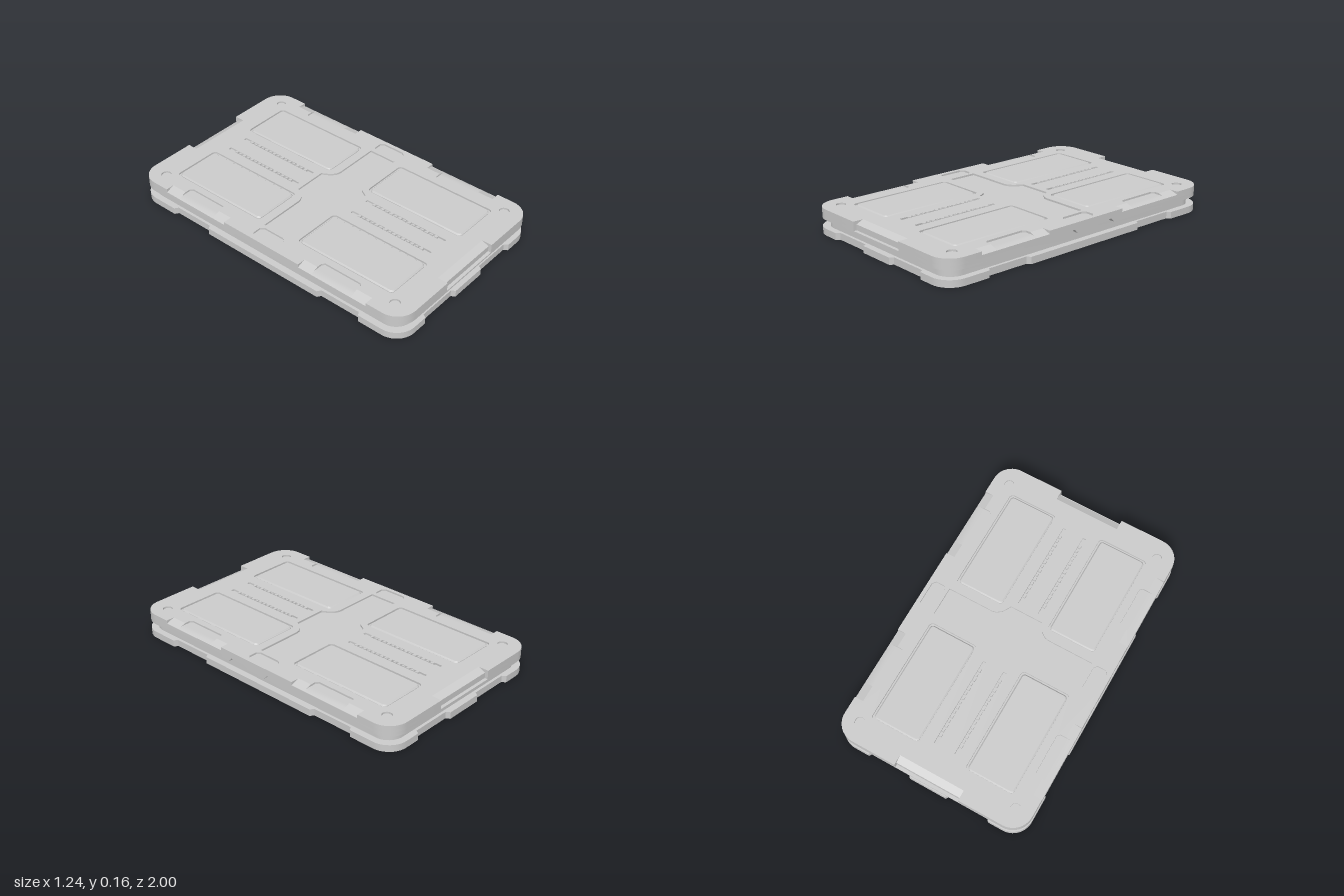
import * as THREE from 'three';
import { toCreasedNormals } from 'three/addons/utils/BufferGeometryUtils.js';

const material = new THREE.MeshStandardMaterial({ color: 0xcccccc });

// Points of a rounded corner, from the long side (+x) round to the end (+z)
function corner(hw, hl, r, steps = 10) {
  return Array.from({ length: steps + 1 }, (_, i) => {
    const a = (i / steps) * Math.PI / 2;
    return [hw - r + r * Math.cos(a), hl - r + r * Math.sin(a)];
  });
}

// Mirrors one quadrant of an outline into a closed loop, centred on (cx, cz)
function mirrored(quadrant, cx = 0, cz = 0) {
  const back = [...quadrant].reverse();
  return [
    ...quadrant,
    ...back.map(([x, z]) => [-x, z]),
    ...quadrant.map(([x, z]) => [-x, -z]),
    ...back.map(([x, z]) => [x, -z]),
  ].map(([x, z]) => new THREE.Vector2(x + cx, z + cz));
}

const roundedRect = (hw, hl, r, cx = 0, cz = 0) => mirrored(corner(hw, hl, r, 6), cx, cz);

export function createModel() {
  const model = new THREE.Group();

  function add(name, geometry, turn = 0) {
    const mesh = new THREE.Mesh(toCreasedNormals(geometry, 0.5), material);
    mesh.name = name;
    mesh.rotation.y = turn;
    model.add(mesh);
    return mesh;
  }

  // Horizontal slab between two heights, with optional holes and bevelled top
  function slab(name, outline, y0, y1, holes = [], bevel = 0) {
    const shape = new THREE.Shape(outline);
    shape.holes = holes.map((h) => new THREE.Path(h));
    const geometry = new THREE.ExtrudeGeometry(shape, {
      depth: y1 - y0 - bevel, bevelEnabled: bevel > 0,
      bevelSize: bevel, bevelThickness: bevel, bevelOffset: -bevel, bevelSegments: 1,
    });
    geometry.rotateX(-Math.PI / 2).translate(0, y0, 0);
    add(name, geometry);
  }

  // Upright cross-section (u, y) run along z, then turned about y
  function prism(name, points, from, to, turn) {
    const shape = new THREE.Shape(points.map(([u, y]) => new THREE.Vector2(u, y)));
    const geometry = new THREE.ExtrudeGeometry(shape, { depth: to - from, bevelEnabled: false });
    add(name, geometry.translate(0, 0, from), turn);
  }

  const round = corner(0.62, 1, 0.125);

  // Bottom plate with shallow recesses round its edge
  slab('bottomPlate', mirrored([
    [0.62, 0.42], [0.597, 0.435], [0.597, 0.7], [0.62, 0.715], ...round,
    [0.4, 1], [0.385, 0.977], [0.135, 0.977], [0.12, 1],
  ]), 0, 0.042);

  // Narrower core
  slab('core', mirrored(corner(0.58, 0.96, 0.1)), 0.042, 0.095);

  // Skirt of the top plate, notched under the sides
  slab('topSkirt', mirrored([
    [0.62, 0.07], [0.585, 0.07], [0.585, 0.22], [0.62, 0.22], ...round,
    [0.21, 1], [0.21, 0.98],
  ]), 0.095, 0.12);

  // Top plate body
  slab('topBody', mirrored([
    [0.62, 0.285], [0.565, 0.285], [0.565, 0.765], [0.62, 0.765], ...round,
    [0.21, 1], [0.21, 0.935],
  ]), 0.12, 0.149);

  // Recesses cut through the top skin
  const holes = [mirrored([
    [0.485, 0.092], [0.19, 0.092], [0.165, 0.098], [0.135, 0.12], [0.117, 0.15], [0.105, 0.172],
  ])];
  for (const sx of [-1, 1]) {
    holes.push(mirrored([[0.045, 0.07], [0.027, 0.092]], sx * 0.55));
    for (const sz of [-1, 1]) {
      holes.push(
        roundedRect(0.16, 0.34, 0.025, sx * 0.312, sz * 0.488),
        roundedRect(0.03, 0.03, 0.03, sx * 0.515, sz * 0.88),
        roundedRect(0.011, 0.285, 0.004, sx * 0.068, sz * 0.495),
      );
    }
  }

  // Top skin, with side tabs and handle cut-outs in its outline
  slab('topSkin', mirrored([
    [0.62, 0.285], [0.565, 0.285], [0.565, 0.38], [0.532, 0.38], [0.515, 0.395],
    [0.515, 0.645], [0.532, 0.66], [0.565, 0.66], [0.565, 0.765], [0.62, 0.765], ...round,
    [0.21, 1], [0.21, 0.935],
  ]), 0.149, 0.16, holes);

  // Raised pads and ribbed slots
  for (const sx of [-1, 1]) {
    for (const sz of [-1, 1]) {
      slab('pad', roundedRect(0.15, 0.33, 0.022, sx * 0.312, sz * 0.488), 0.149, 0.161, [], 0.008);
      for (let i = 0; i < 15; i++) {
        const rib = new THREE.BoxGeometry(i % 2 ? 0.01 : 0.016, 0.013, 0.02);
        rib.translate(sx * 0.068, 0.1555, sz * (0.27 + i * 0.032));
        add('slotRib', rib);
      }
    }
  }

  // Both sides and both ends, by half turns
  for (const turn of [0, Math.PI]) {
    const slope = [[0.565, 0.12], [0.62, 0.12], [0.62, 0.14], [0.565, 0.16]];
    const tabSlope = [[0.565, 0.12], [0.62, 0.12], [0.62, 0.14], [0.595, 0.149], [0.565, 0.149]];
    for (const s of [-1, 1]) {
      const span = (name, pts, a, b) => prism(name, pts, Math.min(s * a, s * b), Math.max(s * a, s * b), turn);
      span('sideSlope', slope, 0.285, 0.38);
      span('sideTabSlope', tabSlope, 0.38, 0.66);
      span('sideSlope', slope, 0.66, 0.765);
      // Slanted ends of the side notches
      prism('notchCorner', [[s * 0.07, 0.095], [s * 0.07, 0.12], [s * 0.095, 0.12]], -0.62, -0.585, turn - Math.PI / 2);
      prism('notchCorner', [[s * 0.22, 0.095], [s * 0.22, 0.12], [s * 0.195, 0.12]], -0.62, -0.585, turn - Math.PI / 2);
    }
    // Handle cut-out: slope down to a low ledge
    prism('handleSlope', [[0.935, 0.12], [0.98, 0.12], [0.98, 0.14], [0.935, 0.16]], -0.21, 0.21, turn - Math.PI / 2);
    prism('handleLedge', [[0.98, 0.095], [1, 0.095], [1, 0.105], [0.98, 0.105]], -0.21, 0.21, turn - Math.PI / 2);
  }

  return model;
}
